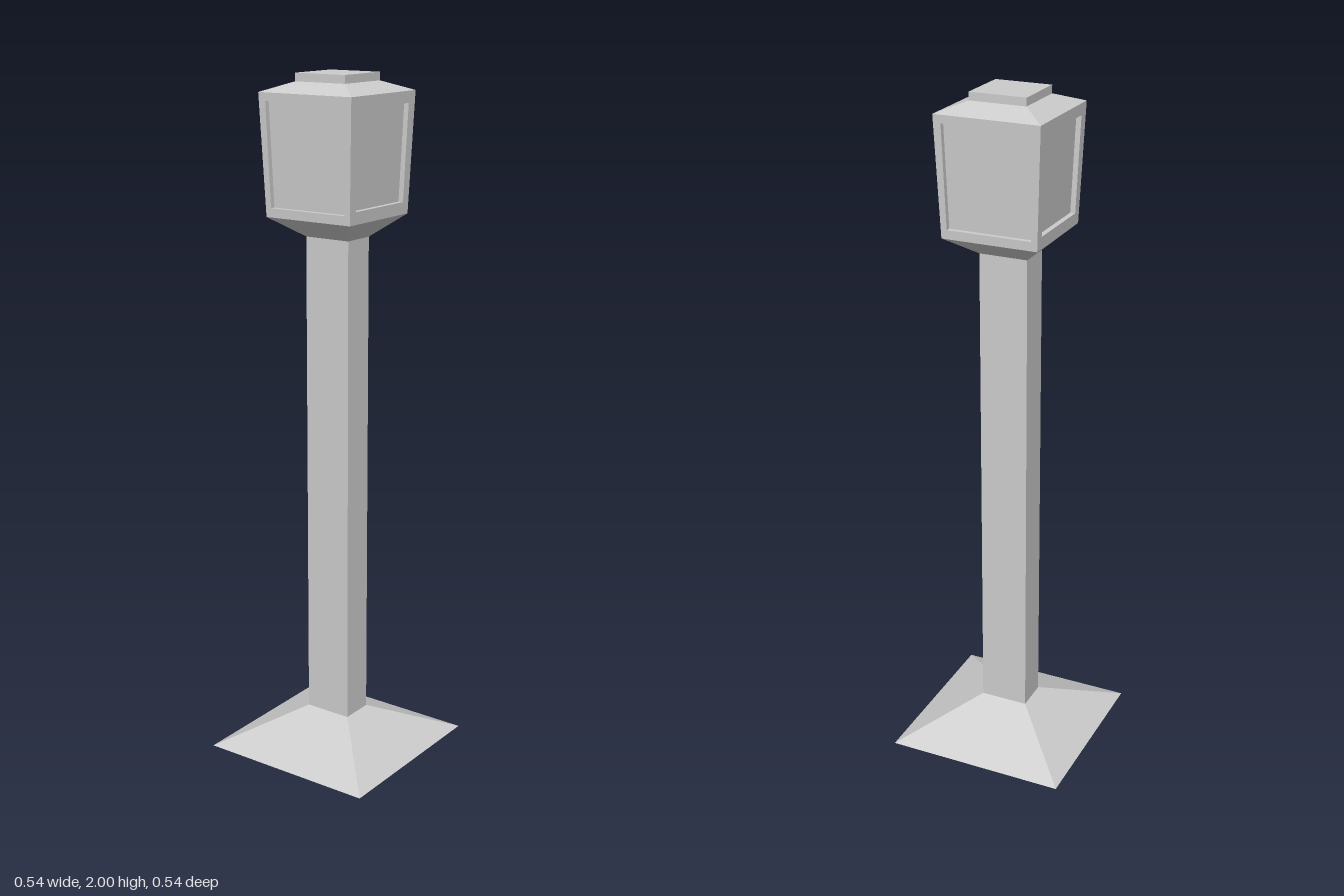
import * as THREE from 'three';

const material = new THREE.MeshStandardMaterial({ color: 0xcccccc, flatShading: true });

// Horizontal rectangle of half sizes x, z at height y
const ring = (y, x, z = x) => [[-x, y, z], [x, y, z], [x, y, -z], [-x, y, -z]];

// Joins successive four-cornered rings with flat quads, with optional end caps
function loft(name, rings, { start = false, end = false } = {}) {
  const pos = [];
  const quad = (a, b, c, d) => pos.push(...a, ...b, ...c, ...a, ...c, ...d);
  for (let r = 0; r < rings.length - 1; r++) {
    const lo = rings[r], hi = rings[r + 1];
    for (let i = 0; i < 4; i++) {
      const j = (i + 1) % 4;
      quad(lo[i], lo[j], hi[j], hi[i]);
    }
  }
  if (start) quad(...[...rings[0]].reverse());
  if (end) quad(...rings[rings.length - 1]);
  const geometry = new THREE.BufferGeometry();
  geometry.setAttribute('position', new THREE.Float32BufferAttribute(pos, 3));
  geometry.computeVertexNormals();
  const mesh = new THREE.Mesh(geometry, material);
  mesh.name = name;
  return mesh;
}

export function createModel() {
  const group = new THREE.Group();
  group.name = 'lampPost';
  const px = 0.072, pz = 0.05;            // post half sizes
  const y0 = 1.61, y1 = 1.95;             // lantern wall heights
  const w0 = 0.141, w1 = 0.154;           // lantern half widths, bottom and top
  const wall = y => w0 + (w1 - w0) * (y - y0) / (y1 - y0);

  // Foot and post
  group.add(loft('base', [ring(0, 0.271), ring(0.105, px, pz)], { start: true, end: true }));
  group.add(loft('post', [ring(0.105, px, pz), ring(1.55, px, pz)]));

  // Flared underside of the lantern
  group.add(loft('lanternCollar', [ring(1.55, px, pz), ring(y0, w0)], { start: true }));

  // Four leaning walls, each a frame around a recessed pane
  const face = (b, t, hb, ht, depth) => [
    [-hb, b, wall(b) - depth], [hb, b, wall(b) - depth],
    [ht, t, wall(t) - depth], [-ht, t, wall(t) - depth],
  ];
  for (let k = 0; k < 4; k++) {
    const opening = k % 2 ? [1.645, 1.917, 0.115, 0.122] : [1.636, 1.927, 0.124, 0.131];
    const side = loft('lanternWindow', [
      face(y0, y1, w0, w1, 0),
      face(...opening, 0),
      face(...opening, 0.015),
    ], { end: true });
    side.rotation.y = k * Math.PI / 2;
    group.add(side);
  }

  // Sloping roof and square cap
  group.add(loft('roof', [ring(y1, w1), ring(1.977, 0.083)]));
  group.add(loft('roofCap', [ring(1.977, 0.083), ring(2, 0.083)], { end: true }));
  return group;
}
